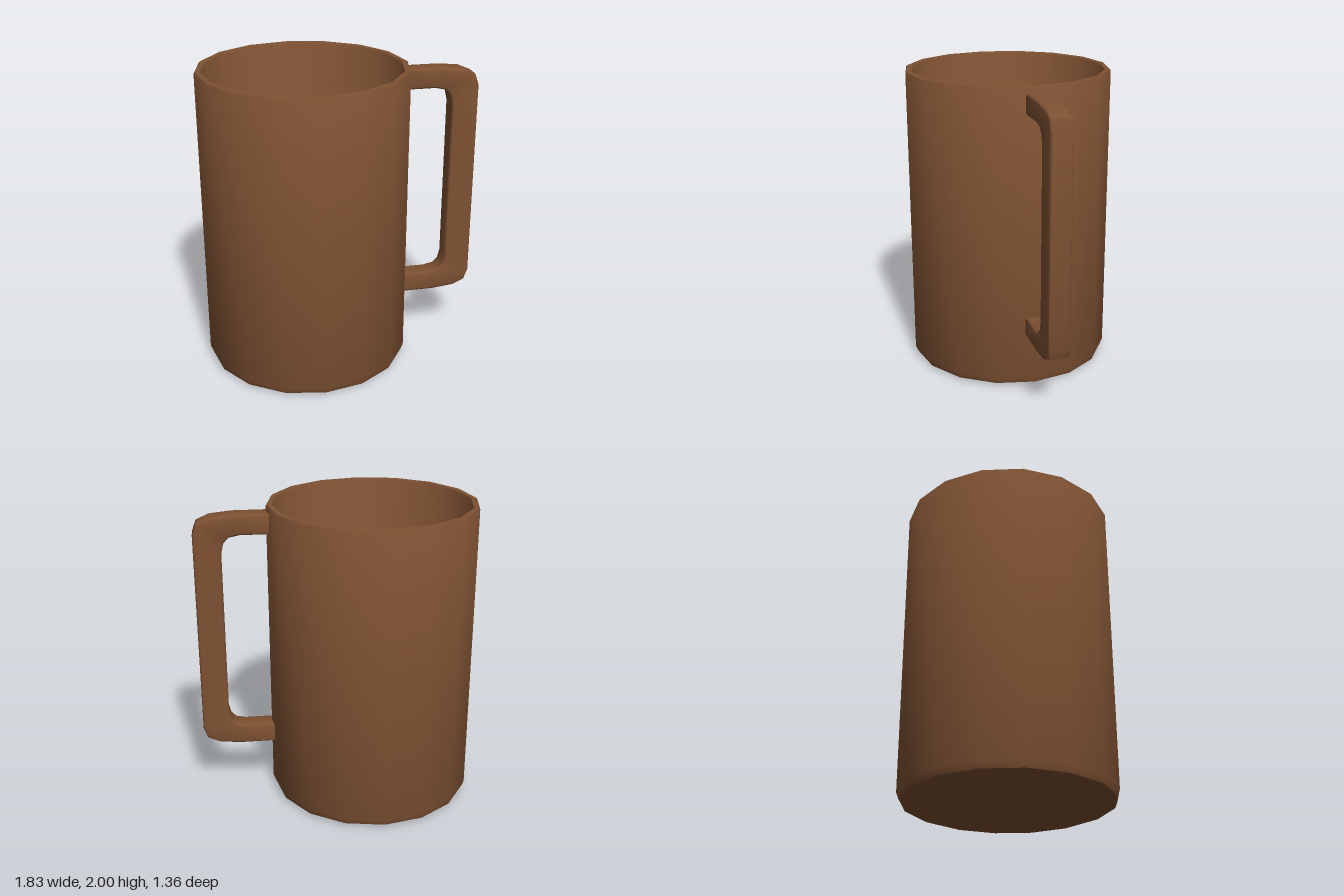
import * as THREE from 'three';
import { toCreasedNormals } from 'three/addons/utils/BufferGeometryUtils.js';

export function createModel() {
  const model = new THREE.Group();
  model.name = 'mug';
  const brown = new THREE.MeshStandardMaterial({ color: 0x7d5132 });
  brown.name = 'brown';

  const add = (name, geometry, crease) => {
    const mesh = new THREE.Mesh(toCreasedNormals(geometry, THREE.MathUtils.degToRad(crease)), brown);
    mesh.name = name;
    model.add(mesh);
    return mesh;
  };
  const points = (list) => list.map(([x, y]) => new THREE.Vector2(x, y));

  // Hollow sixteen-sided cup: underside, outer wall, rim, inner wall, floor
  const profile = points([
    [0, 0], [0.625, 0], [0.665, 0.015], [0.68, 0.055],
    [0.68, 1.992], [0.673, 2], [0.642, 2], [0.635, 1.992],
    [0.635, 0.07], [0.62, 0.05], [0, 0.05],
  ]);
  add('cup', new THREE.LatheGeometry(profile, 16), 46).position.x = -0.235;

  // Squared handle, mirrored about its mid height; the ends sink into the wall
  const midY = 1.158;
  const mirror = (list) => [...list, ...list.map(([x, y]) => [x, 2 * midY - y]).reverse()];
  const outer = mirror([[0.415, 1.956], [0.66, 1.956], [0.8, 1.942], [0.885, 1.905], [0.912, 1.83]]);
  const inner = mirror([[0.415, 1.824], [0.62, 1.824], [0.685, 1.81], [0.72, 1.775], [0.735, 1.71]]);
  const shape = new THREE.Shape(points([...outer, ...inner.reverse()]));
  const bevel = 0.015;
  const handle = new THREE.ExtrudeGeometry(shape, {
    depth: 0.14 - 2 * bevel,
    bevelEnabled: true,
    bevelSize: bevel,
    bevelThickness: bevel,
    bevelOffset: -bevel,
    bevelSegments: 2,
  });
  handle.translate(0, 0, bevel - 0.07);
  add('handle', handle, 46);

  return model;
}
